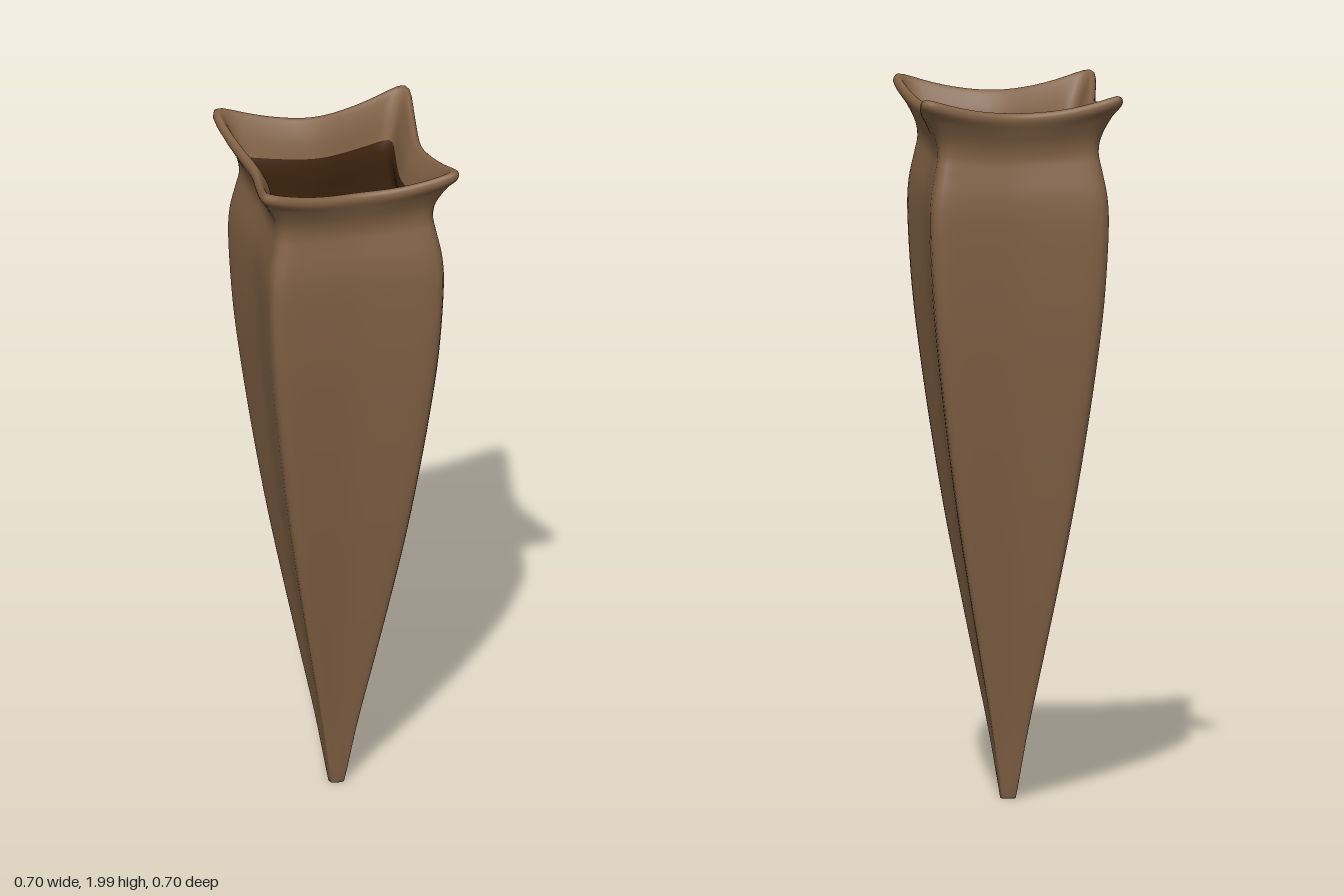
import * as THREE from 'three';

const SIDES = 4;               // star points
const STEPS = 10;              // segments from a star point to a valley
const TURN = THREE.MathUtils.degToRad(63.4);

// Each key: [point radius, valley radius, point height, valley height]
const OUTER = [
  [0.026, 0.022, 0.0, 0.0], [0.036, 0.028, 0.04, 0.04], [0.073, 0.05, 0.2, 0.2],
  [0.127, 0.083, 0.4, 0.4], [0.18, 0.116, 0.6, 0.6], [0.23, 0.148, 0.8, 0.8],
  [0.273, 0.176, 1.0, 1.0], [0.311, 0.2, 1.2, 1.2], [0.342, 0.22, 1.4, 1.4],
  [0.358, 0.231, 1.6, 1.6], [0.354, 0.23, 1.7, 1.7], [0.334, 0.218, 1.78, 1.77],
  [0.322, 0.212, 1.83, 1.81], [0.333, 0.218, 1.88, 1.85], [0.372, 0.232, 1.94, 1.89],
  [0.408, 0.243, 1.975, 1.92], [0.41, 0.24, 1.995, 1.937], [0.395, 0.228, 2.0, 1.943],
  [0.376, 0.215, 1.985, 1.93], [0.34, 0.195, 1.92, 1.89], [0.315, 0.183, 1.86, 1.84],
];
const INNER = [
  [0.315, 0.183, 1.86, 1.84], [0.303, 0.182, 1.81, 1.79], [0.327, 0.2, 1.65, 1.65],
  [0.31, 0.188, 1.4, 1.4], [0.277, 0.168, 1.2, 1.2], [0.238, 0.145, 1.0, 1.0],
  [0.195, 0.12, 0.8, 0.8],
];
const DEEP = [
  [0.195, 0.12, 0.8, 0.8], [0.145, 0.09, 0.6, 0.6], [0.09, 0.058, 0.4, 0.4],
  [0.035, 0.025, 0.2, 0.2], [0.001, 0.001, 0.12, 0.12],
];

// One softened star outline; the height sags in a curve between the points
function starRing(R, V, yPoint, yValley) {
  const corner = (i) => {
    const a = TURN + (i * Math.PI) / SIDES, r = i % 2 ? V : R;
    return [r * Math.cos(a), r * Math.sin(a)];
  };
  let ring = [];
  for (let i = 0; i < SIDES * 2; i++) {
    const p = corner(i), q = corner(i + 1);
    for (let s = 0; s < STEPS; s++) {
      const t = s / STEPS, toPoint = i % 2 ? t : 1 - t;
      ring.push([
        p[0] + (q[0] - p[0]) * t,
        yValley + (yPoint - yValley) * toPoint * toPoint,
        p[1] + (q[1] - p[1]) * t,
      ]);
    }
  }
  for (let pass = 0; pass < 3; pass++) {
    const n = ring.length;
    ring = ring.map((p, i) => p.map((c, k) =>
      0.5 * c + 0.25 * (ring[(i + 1) % n][k] + ring[(i + n - 1) % n][k])));
  }
  return ring;
}

// Skin a smooth surface through the star outlines
function loft(keys, capStart) {
  const points = new THREE.SplineCurve(keys.map((k) => new THREE.Vector2(k[0], k[2])));
  const valleys = new THREE.SplineCurve(keys.map((k) => new THREE.Vector2(k[1], k[3])));
  const rows = (keys.length - 1) * 4, n = SIDES * 2 * STEPS;
  const pos = [], index = [];
  for (let j = 0; j <= rows; j++) {
    const p = points.getPoint(j / rows), v = valleys.getPoint(j / rows);
    starRing(p.x, v.x, p.y, v.y).forEach((c) => pos.push(...c));
  }
  for (let j = 0; j < rows; j++) {
    for (let i = 0; i < n; i++) {
      const a = j * n + i, b = j * n + ((i + 1) % n), c = a + n, d = b + n;
      index.push(a, c, b, b, c, d);
    }
  }
  if (capStart) {
    // flat tip underneath
    const centre = pos.length / 3;
    pos.push(0, keys[0][2], 0);
    for (let i = 0; i < n; i++) index.push(centre, i, (i + 1) % n);
  }
  const geo = new THREE.BufferGeometry();
  geo.setAttribute('position', new THREE.Float32BufferAttribute(pos, 3));
  geo.setIndex(index);
  geo.computeVertexNormals();
  return geo;
}

export function createModel() {
  const group = new THREE.Group();
  group.name = 'starPod';
  const material = (name, color) => {
    const m = new THREE.MeshStandardMaterial({ color });
    m.name = name;
    return m;
  };
  const add = (name, geo, mat) => {
    const mesh = new THREE.Mesh(geo, mat);
    mesh.name = name;
    group.add(mesh);
  };
  // tapering shell with flared lip, then the hollow inside
  add('shellAndLip', loft(OUTER, true), material('tan husk', 0x816145));
  add('innerWall', loft(INNER, false), material('dark brown lining', 0x40240e));
  add('innerDepth', loft(DEEP, false), material('black hollow', 0x080808));
  return group;
}
